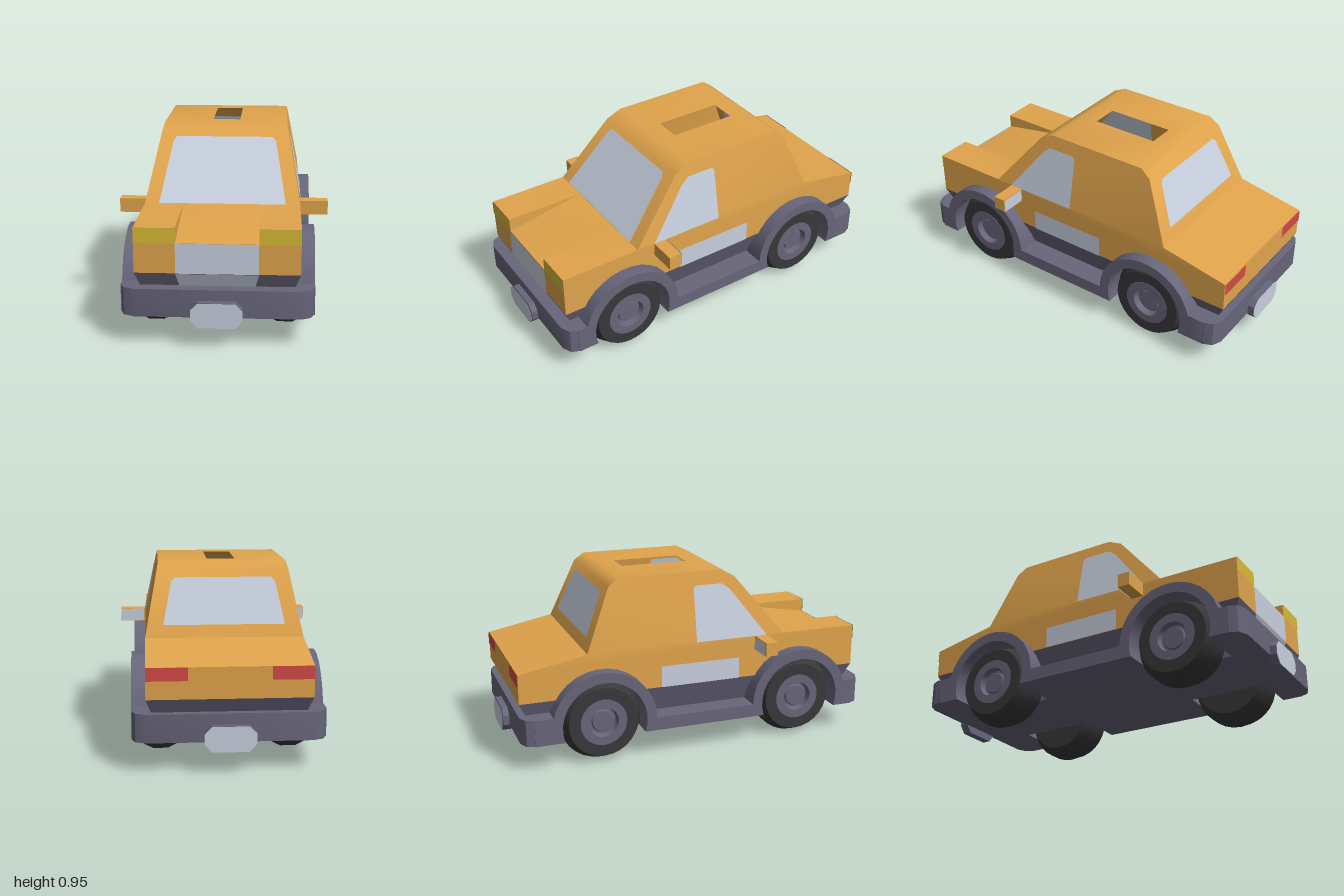
import * as THREE from 'three';
import { toCreasedNormals } from 'three/addons/utils/BufferGeometryUtils.js';

const mat = (name, color, side = THREE.FrontSide) => {
  const m = new THREE.MeshStandardMaterial({ color, side });
  m.name = name;
  return m;
};

export function createModel() {
  const car = new THREE.Group();
  car.name = 'car';
  const paint = mat('orange paint', 0xe0a44c, THREE.DoubleSide);
  const trim = mat('grey trim', 0x68667a, THREE.DoubleSide);
  const glass = mat('pale glass', 0xc8d0de, THREE.DoubleSide);
  const yellow = mat('yellow lamp', 0xd6ba36, THREE.DoubleSide);
  const red = mat('red lamp', 0xd24a45, THREE.DoubleSide);
  const rubber = mat('black rubber', 0x38383b, THREE.DoubleSide);

  const add = (name, geometry, material) => {
    const m = new THREE.Mesh(geometry, material);
    m.name = name;
    car.add(m);
    return m;
  };
  const V = (x, y, z) => new THREE.Vector3(x, y, z);
  const normalOf = (p) => V(0, 0, 0).subVectors(p[1], p[0]).cross(V(0, 0, 0).subVectors(p[2], p[0])).normalize();

  // Adds a convex face as a fan, turned to face along the hint
  const face = (out, pts, hint) => {
    const p = pts.map((q) => (q.isVector3 ? q : V(...q)));
    if (normalOf(p).dot(V(...hint)) < 0) p.reverse();
    for (let i = 1; i < p.length - 1; i++) out.push(p[0], p[i], p[i + 1]);
  };
  const surface = (tris, crease = 0.7) =>
    toCreasedNormals(new THREE.BufferGeometry().setFromPoints(tris), crease);

  // Thin coloured plate straddling a flat polygon
  const plate = (name, pts, material) => {
    const p = pts.map((q) => V(...q));
    const n = normalOf(p);
    const tris = [];
    for (const d of [0.004, -0.004]) {
      const dir = n.clone().multiplyScalar(d);
      face(tris, p.map((q) => q.clone().add(dir)), dir.toArray());
    }
    add(name, surface(tris), material);
  };

  const FRONT = 0.578, REAR = -0.53, AXLE = 0.22, BELT = 0.585, ROOF = 0.95, SILL = 0.36;
  const halfWidth = (y) => (y > BELT ? 0.4 - (0.07 * (y - BELT)) / (ROOF - BELT)
    : y < SILL ? 0.4 - (SILL - y) * 0.36 : 0.4);
  const arc = (z, r, a0, a1, n = 12) => Array.from({ length: n + 1 }, (_, i) => {
    const a = a0 + ((a1 - a0) * i) / n;
    return new THREE.Vector2(z + r * Math.cos(a), AXLE + r * Math.sin(a));
  });
  // Fills a (z, y) outline on both flanks, following the body's lean
  const flanks = (out, outline) => {
    for (const s of [-1, 1]) {
      for (const t of THREE.ShapeUtils.triangulateShape(outline, [])) {
        face(out, t.map((i) => [s * halfWidth(outline[i].y), outline[i].y, outline[i].x]), [s, 0, 0]);
      }
    }
  };
  const P = (z, y) => new THREE.Vector2(z, y);

  // Body shell: flanks with wheel cut-outs
  const body = [];
  const lift = Math.asin((SILL - AXLE) / 0.25);
  flanks(body, [P(0.93, SILL), P(0.93, BELT), P(-0.6, BELT), P(-0.96, 0.515), P(-0.96, SILL),
    ...arc(REAR, 0.25, Math.PI - lift, lift), ...arc(FRONT, 0.25, Math.PI - lift, lift)]);
  const cabin = [P(0.5, BELT), P(0.23, 0.91), P(0.15, ROOF), P(-0.41, ROOF), P(-0.465, 0.91), P(-0.6, BELT)];
  flanks(body, cabin);

  // Windscreen slope, roof bevels, rear slope and boot
  const strip = (a, b, hint) => face(body, [
    [-halfWidth(a.y), a.y, a.x], [halfWidth(a.y), a.y, a.x],
    [halfWidth(b.y), b.y, b.x], [-halfWidth(b.y), b.y, b.x]], hint);
  for (const i of [0, 1, 3, 4]) strip(cabin[i], cabin[i + 1], [0, 1, 0]);
  strip(P(-0.6, BELT), P(-0.96, 0.515), [0, 1, 0]);
  strip(P(-0.96, 0.515), P(-0.96, SILL), [0, 0, -1]);

  // Roof as a frame around the open sunroof
  const rect = (x, z0, z1) => [[-x, ROOF, z0], [x, ROOF, z0], [x, ROOF, z1], [-x, ROOF, z1]];
  const outer = rect(0.33, -0.41, 0.15), inner = rect(0.073, -0.31, 0.055);
  for (let i = 0; i < 4; i++) {
    const j = (i + 1) % 4;
    face(body, [outer[i], outer[j], inner[j], inner[i]], [0, 1, 0]);
  }

  // Bonnet: sloping centre between two level wings
  face(body, [[-0.2, BELT, 0.5], [0.2, BELT, 0.5], [0.2, 0.51, 0.93], [-0.2, 0.51, 0.93]], [0, 1, 0]);
  face(body, [[-0.2, 0.51, 0.93], [0.2, 0.51, 0.93], [0.2, SILL, 0.93], [-0.2, SILL, 0.93]], [0, 0, 1]);
  for (const s of [-1, 1]) {
    const a = s * 0.2, b = s * 0.4;
    face(body, [[a, BELT, 0.5], [b, BELT, 0.5], [b, BELT, 0.93], [a, BELT, 0.93]], [0, 1, 0]);
    face(body, [[a, BELT, 0.93], [b, BELT, 0.93], [b, SILL, 0.93], [a, SILL, 0.93]], [0, 0, 1]);
    face(body, [[a, BELT, 0.5], [a, BELT, 0.93], [a, 0.51, 0.93]], [-s, 0, 0]);
  }
  add('body', surface(body), paint);

  // Tucked-in skirt under the body
  const skirt = [];
  const low = 0.2, lowX = halfWidth(low);
  flanks(skirt, [P(0.93, SILL), P(FRONT + 0.215, SILL), P(FRONT + 0.25, low), P(0.86, low)]);
  flanks(skirt, [P(FRONT - 0.215, SILL), P(REAR + 0.215, SILL), P(REAR + 0.25, low), P(FRONT - 0.25, low)]);
  flanks(skirt, [P(REAR - 0.215, SILL), P(-0.96, SILL), P(-0.88, low), P(REAR - 0.25, low)]);
  for (const [top, bottom] of [[0.93, 0.86], [-0.96, -0.88]]) {
    face(skirt, [[-0.4, SILL, top], [0.4, SILL, top], [lowX, low, bottom], [-lowX, low, bottom]], [0, 0, top]);
  }
  add('skirt', surface(skirt), trim);

  // Side sills with wheel arches
  const foot = Math.asin(0.07 / 0.28), well = 0.226, dip = Math.asin(-0.07 / well);
  const sill = new THREE.Shape([P(0.9, 0.15), P(0.9, 0.29),
    ...arc(FRONT, 0.28, foot, Math.PI, 14), ...arc(REAR, 0.28, 0, Math.PI - foot, 14),
    P(-0.9, 0.29), P(-0.9, 0.15),
    ...arc(REAR, well, Math.PI - dip, dip, 18), ...arc(FRONT, well, Math.PI - dip, dip, 18)]);
  for (const [name, x] of [['leftSill', 0.47], ['rightSill', -0.2]]) {
    const g = new THREE.ExtrudeGeometry(sill, { depth: 0.27, bevelEnabled: false });
    g.rotateY(-Math.PI / 2).translate(x, 0, 0);
    add(name, toCreasedNormals(g, 0.6), trim);
  }
  add('floor', new THREE.BoxGeometry(0.42, 0.07, 1.7).translate(0, 0.185, 0), trim);

  // Bumpers with cut corners, and number plates
  const bumper = new THREE.Shape([P(-0.47, 0.815), P(0.47, 0.815), P(0.47, 0.89), P(0.45, 0.94),
    P(0.4, 0.963), P(-0.4, 0.963), P(-0.45, 0.94), P(-0.47, 0.89)]);
  const octagon = [[-0.125, 0.15], [-0.09, 0.11], [0.09, 0.11], [0.125, 0.15],
    [0.125, 0.2], [0.09, 0.235], [-0.09, 0.235], [-0.125, 0.2]];
  for (const [end, s] of [['front', 1], ['rear', -1]]) {
    const g = new THREE.ExtrudeGeometry(bumper, { depth: 0.14, bevelEnabled: false });
    g.rotateX(Math.PI / 2).translate(0, 0.29, 0);
    if (s < 0) g.rotateY(Math.PI);
    add(end + 'Bumper', toCreasedNormals(g, 0.6), trim);
    const holder = new THREE.ExtrudeGeometry(new THREE.Shape(octagon.map((p) => P(...p))),
      { depth: 0.046, bevelEnabled: false });
    add(end + 'PlateHolder', holder.translate(0, 0, s > 0 ? 0.95 : -0.996), trim);
    plate(end + 'Plate', octagon.map(([x, y]) => [x, y, s * 0.996]), glass);
  }

  // Windscreen and rear window
  const screenZ = (y) => 0.5 - (0.27 * (y - BELT)) / 0.325;
  const rearZ = (y) => -0.6 + (0.135 * (y - BELT)) / 0.325;
  const across = (half, zAt) => [...half, ...half.map(([x, y]) => [-x, y]).reverse()].map(([x, y]) => [x, y, zAt(y)]);
  plate('windscreen', across([[0.326, 0.588], [0.272, 0.868], [0.255, 0.89]], screenZ), glass);
  plate('rearWindow', across([[0.308, 0.645], [0.265, 0.855], [0.245, 0.874]], rearZ), glass);

  // Grille, running down over the skirt
  plate('grille', [[-0.2, 0.51, 0.93], [-0.2, SILL, 0.93], [0.2, SILL, 0.93], [0.2, 0.51, 0.93]], glass);
  plate('grilleLower', [[-0.2, SILL, 0.93], [-0.183, 0.29, 0.899], [0.183, 0.29, 0.899], [0.2, SILL, 0.93]], glass);

  for (const [side, s] of [['left', 1], ['right', -1]]) {
    // Door glass and pale door panel
    const onSide = (pts) => pts.map(([z, y]) => [s * halfWidth(y), y, z]);
    plate(side + 'Window', onSide([[0.4, BELT], [0.2, 0.845], [0.155, 0.878], [0.01, 0.878], [-0.005, 0.865], [-0.005, BELT]]), glass);
    plate(side + 'DoorPanel', onSide([[0.24, SILL], [0.24, 0.475], [-0.2, 0.475], [-0.2, SILL]]), glass);

    // Lamps
    const lamp = (y0, y1, z) => [[s * 0.2, y0, z], [s * 0.4, y0, z], [s * 0.4, y1, z], [s * 0.2, y1, z]];
    plate(side + 'Headlamp', lamp(0.51, BELT, 0.93), yellow);
    plate(side + 'TailLamp', lamp(0.45, 0.515, -0.96), red);

    // Door mirror
    add(side + 'Mirror', new THREE.BoxGeometry(0.155, 0.073, 0.068).translate(s * 0.4675, 0.548, 0.366), paint);
    plate(side + 'MirrorGlass', [[s * 0.41, 0.513, 0.331], [s * 0.543, 0.513, 0.331],
      [s * 0.543, 0.583, 0.331], [s * 0.41, 0.583, 0.331]], glass);

    // Wheels: chamfered tyre and dished hub turned about the axle
    for (const [end, z] of [['Front', FRONT], ['Rear', REAR]]) {
      const lathe = (pts) => toCreasedNormals(
        new THREE.LatheGeometry(pts.map((p) => P(...p)), 28).rotateZ(-s * Math.PI / 2), 0.5);
      const tyre = lathe([[0, 0.22], [0.185, 0.22], [0.22, 0.29], [0.22, 0.365], [0.187, 0.435], [0.122, 0.435], [0.122, 0.4]]);
      const hub = lathe([[0.125, 0.41], [0.125, 0.438], [0.08, 0.438], [0.072, 0.405], [0.06, 0.405], [0.055, 0.415], [0, 0.415]]);
      add(side + end + 'Tyre', tyre, rubber).position.set(0, AXLE, z);
      add(side + end + 'Hub', hub, trim).position.set(0, AXLE, z);
    }
  }
  return car;
}
